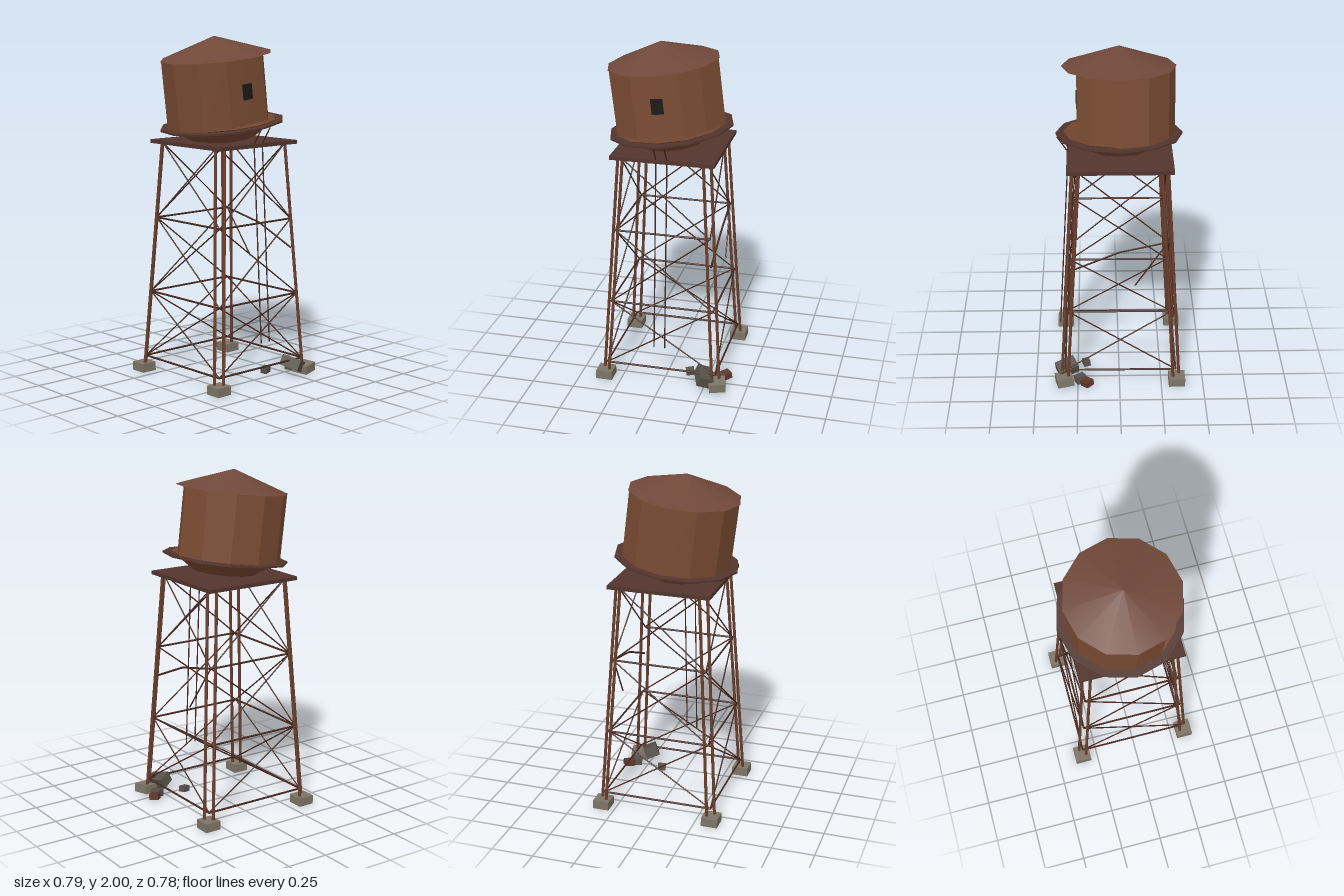
import * as THREE from 'three';

const mat = (color, flatShading = true) => new THREE.MeshStandardMaterial({ color, flatShading });
const MAT = {
  wall: mat(0x7a4c33), roof: mat(0x70483a, false), bowl: mat(0x744630), deck: mat(0x52352d),
  leg: mat(0x6b3e2a), brace: mat(0x45291f), concrete: mat(0x7c7466),
  rubble: mat(0x57524a), rust: mat(0x5f372c), hatch: mat(0x1c1a19),
};

function add(parent, name, geometry, material, pos = [0, 0, 0], rot = [0, 0, 0]) {
  const mesh = new THREE.Mesh(geometry, material);
  mesh.name = name;
  mesh.position.set(...pos);
  mesh.rotation.set(...rot);
  parent.add(mesh);
  return mesh;
}

// Straight rod between two points
function rod(parent, name, a, b, radius, material, sides = 6) {
  const from = new THREE.Vector3(...a), to = new THREE.Vector3(...b);
  const dir = to.clone().sub(from);
  const mesh = add(parent, name, new THREE.CylinderGeometry(radius, radius, dir.length(), sides), material);
  mesh.position.copy(from).lerp(to, 0.5);
  mesh.quaternion.setFromUnitVectors(new THREE.Vector3(0, 1, 0), dir.normalize());
}

const LEG_BOTTOM = 0.05, LEG_TOP = 1.38;
const spread = (y) => 0.332 - 0.08 * (y - LEG_BOTTOM) / (LEG_TOP - LEG_BOTTOM);

function buildTower() {
  const tower = new THREE.Group();
  tower.name = 'tower';

  // Paired legs and their footings
  for (const sx of [-1, 1]) for (const sz of [-1, 1]) {
    for (const o of [-0.018, 0.018]) {
      const at = (y) => [sx * (spread(y) + o), y, sz * (spread(y) - o)];
      rod(tower, 'leg', at(LEG_BOTTOM), at(LEG_TOP), 0.009, MAT.leg);
    }
    const broken = sx > 0 && sz > 0;
    add(tower, 'footing', new THREE.BoxGeometry(0.097, 0.052, 0.097), MAT.concrete,
      broken ? [0.343, 0.036, 0.336] : [sx * 0.337, 0.03, sz * 0.337],
      broken ? [0.06, 0.22, 0.08] : [0, 0, 0]);
  }

  // Horizontal ties and crossed braces on each of the four sides
  const levels = [0.095, 0.49, 0.935, LEG_TOP];
  for (let side = 0; side < 4; side++) {
    const face = new THREE.Group();
    face.name = 'sideBracing';
    face.rotation.y = side * Math.PI / 2;
    tower.add(face);
    const at = (s, y) => [s * spread(y), y, spread(y)];
    const damaged = side === 1;
    for (let i = 0; i < 3; i++) {
      const y0 = levels[i], y1 = levels[i + 1];
      if (!(damaged && i === 2)) rod(face, 'tie', at(-1, y0), at(1, y0), 0.0058, MAT.brace);
      if (damaged && i === 1) continue;
      for (const s of [-1, 1]) rod(face, 'crossBrace', at(s, y0), at(-s, y1), 0.0042, MAT.brace, 5);
    }
  }

  // Sagging tie and snapped brace on the damaged side
  const corner = [0.278, 0.935, -0.275];
  rod(tower, 'bentTie', corner, [0.285, 0.875, 0.005], 0.0058, MAT.brace);
  rod(tower, 'bentTie', [0.285, 0.875, 0.005], [0.285, 0.76, 0.275], 0.0058, MAT.brace);
  rod(tower, 'snappedBrace', corner, [0.295, 0.66, -0.085], 0.0045, MAT.brace, 5);

  // Platform
  add(tower, 'platform', new THREE.BoxGeometry(0.605, 0.022, 0.605), MAT.deck, [0, 1.386, 0]);

  // Ladder rails, broken off above the ground and bent at the top
  for (const x of [-0.032, 0.032]) {
    rod(tower, 'ladderRail', [x, 0.25, 0.36], [x, 1.385, 0.295], 0.004, MAT.brace, 5);
    rod(tower, 'ladderTop', [x, 1.395, 0.295], [x, 1.49, 0.357], 0.004, MAT.brace, 5);
  }
  return tower;
}

function buildTank() {
  const tank = new THREE.Group();
  tank.name = 'tank';
  tank.position.set(-0.025, 1.497, -0.003);
  tank.rotation.z = 0.12;

  // Twelve-sided wall, pushed in at the front
  const R = 0.32, H = 0.39;
  const wall = new THREE.CylinderGeometry(R, R, H, 12);
  const dent = { 0: 0.75, 1: 0.86, 2: 0.87, '-1': 0.86 };
  const p = wall.attributes.position;
  for (let i = 0; i < p.count; i++) {
    const x = p.getX(i), z = p.getZ(i);
    if (Math.hypot(x, z) < 0.01) continue;
    const f = dent[Math.round(Math.atan2(x, z) / (Math.PI / 6))] ?? 1;
    p.setX(i, x * f);
    p.setZ(i, z * f);
  }
  add(tank, 'tankWall', wall, MAT.wall, [0, H / 2 + 0.002, 0]);

  add(tank, 'roof', new THREE.ConeGeometry(0.326, 0.115, 12), MAT.roof, [0, H + 0.0575, 0]);
  add(tank, 'tankBottom', new THREE.CylinderGeometry(0.318, 0.185, 0.094, 12), MAT.bowl, [0, -0.041, 0]);
  add(tank, 'walkway', new THREE.CylinderGeometry(0.364, 0.364, 0.01, 12), MAT.deck, [0, -0.005, 0]);
  add(tank, 'hatch', new THREE.BoxGeometry(0.07, 0.09, 0.014), MAT.hatch, [0.001, 0.194, 0.237]);
  return tank;
}

function buildRubble() {
  const rubble = new THREE.Group();
  rubble.name = 'rubble';
  const pieces = [
    [[0.085, 0.065, 0.12], MAT.rubble, [0.25, 0.07, 0.315], [0.25, 0.35, -0.45]],
    [[0.05, 0.045, 0.06], MAT.rubble, [0.315, 0.03, 0.235], [0.1, 0.5, 0.1]],
    [[0.06, 0.035, 0.055], MAT.rust, [0.355, 0.029, 0.195], [0.1, 0.75, 0.08]],
    [[0.05, 0.035, 0.04], MAT.rubble, [0.14, 0.028, 0.2], [0.1, 0.3, 0.08]],
  ];
  for (const [size, m, pos, rot] of pieces) add(rubble, 'rubblePiece', new THREE.BoxGeometry(...size), m, pos, rot);
  return rubble;
}

export function createModel() {
  const model = new THREE.Group();
  model.name = 'waterTower';
  const tower = buildTower();
  tower.position.set(-0.01, 0, -0.006);
  model.add(tower, buildTank(), buildRubble());
  return model;
}
